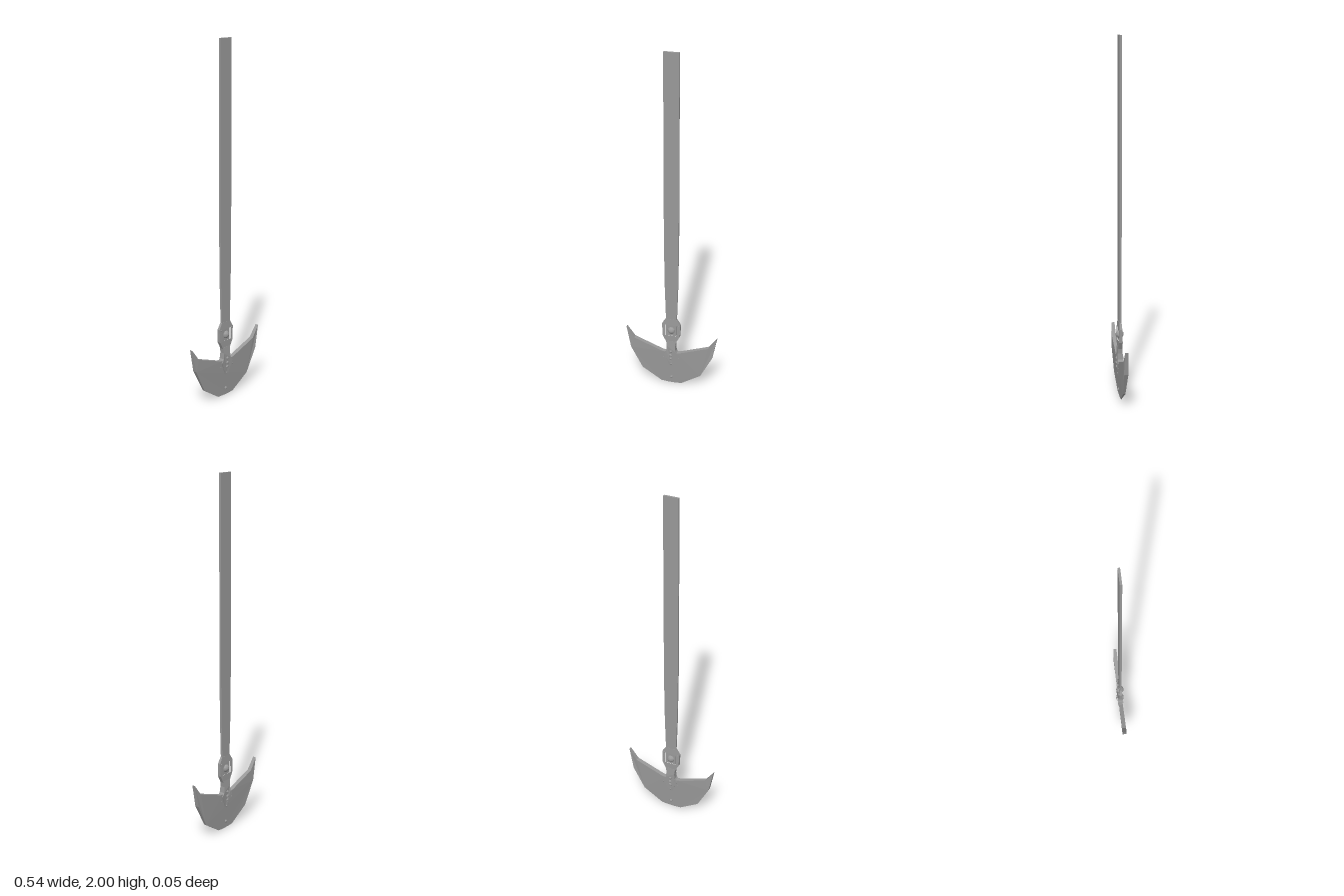
import * as THREE from 'three';

const material = new THREE.MeshStandardMaterial({ color: 0x999999, flatShading: true });

function part(name, geometry, parent) {
  const mesh = new THREE.Mesh(geometry, material);
  mesh.name = name;
  parent.add(mesh);
  return mesh;
}

// Half outline on +x, listed from top to bottom, mirrored to a closed loop
function mirrored(points) {
  const left = points.filter(([x]) => x > 0).map(([x, y]) => [-x, y]);
  return [...points, ...left.reverse()].map(([x, y]) => new THREE.Vector2(x, y));
}

// Symmetric plate whose half thickness varies with height
function plate(points, halfThickness, holePoints) {
  const shape = new THREE.Shape(mirrored(points));
  if (holePoints) shape.holes.push(new THREE.Path(mirrored(holePoints)));
  const geometry = new THREE.ExtrudeGeometry(shape, { depth: 1, bevelEnabled: false });
  const p = geometry.attributes.position;
  for (let i = 0; i < p.count; i++) {
    p.setZ(i, (p.getZ(i) > 0.5 ? 1 : -1) * halfThickness(p.getY(i)));
  }
  geometry.computeVertexNormals();
  return geometry;
}

export function createModel() {
  const group = new THREE.Group();
  group.name = 'bladedStrap';

  // Long flat strap, narrowing towards the joint
  part('strap', plate(
    [[0.042, 2], [0.042, 0.95], [0.038, 0.65], [0.031, 0.43], [0.031, 0.33]],
    () => 0.0058), group);

  // Crescent blade, thick along the top and thin at the cutting edge
  part('blade', plate(
    [[0.035, 0.217], [0.055, 0.22], [0.222, 0.282], [0.269, 0.348],
      [0.243, 0.215], [0.175, 0.08], [0.06, 0.003], [0.02, 0]],
    (y) => Math.min(0.012, 0.0015 + 0.065 * y) - Math.max(0, y - 0.28) * 0.04), group);

  // Open frame around the joint, thinner at the top
  part('jointFrame', plate(
    [[0.033, 0.44], [0.054, 0.405], [0.051, 0.33], [0.028, 0.285]],
    (y) => 0.0105 - Math.max(0, y - 0.33) * 0.035,
    [[0.034, 0.4], [0.034, 0.332]]), group);

  // Tang gripping the blade on both faces
  part('tang', plate(
    [[0.03, 0.295], [0.025, 0.26], [0.028, 0.225], [0.042, 0.205], [0.032, 0.18], [0.01, 0.125]],
    (y) => (y > 0.21 ? 0.018 - (y - 0.21) * 0.08 : 0.018 - (0.21 - y) * 0.085)), group);

  // Pivot ball held by the frame
  const ball = part('pivotBall', new THREE.SphereGeometry(0.023, 12, 8), group);
  ball.position.y = 0.365;

  // Rivets and small studs on both faces: x, y, radius, z of the base
  const studs = [
    [0, 0.225, 0.009, 0.016], [0, 0.2, 0.009, 0.017], [0, 0.175, 0.009, 0.015],
    [0, 0.138, 0.005, 0.0115], [0, 0.04, 0.009, 0.004],
    [0.046, 0.18, 0.003, 0.0105], [-0.046, 0.18, 0.003, 0.0105],
    [0.042, 0.4, 0.004, 0.008], [-0.042, 0.4, 0.004, 0.008],
  ];
  for (const side of [1, -1]) {
    for (const [x, y, r, z] of studs) {
      const dome = new THREE.SphereGeometry(r, 8, 4, 0, Math.PI * 2, 0, Math.PI / 2);
      dome.scale(1, 0.75, 1);
      const stud = part('rivet', dome, group);
      stud.rotation.x = side * Math.PI / 2;
      stud.position.set(x, y, side * z);
    }
  }
  return group;
}
